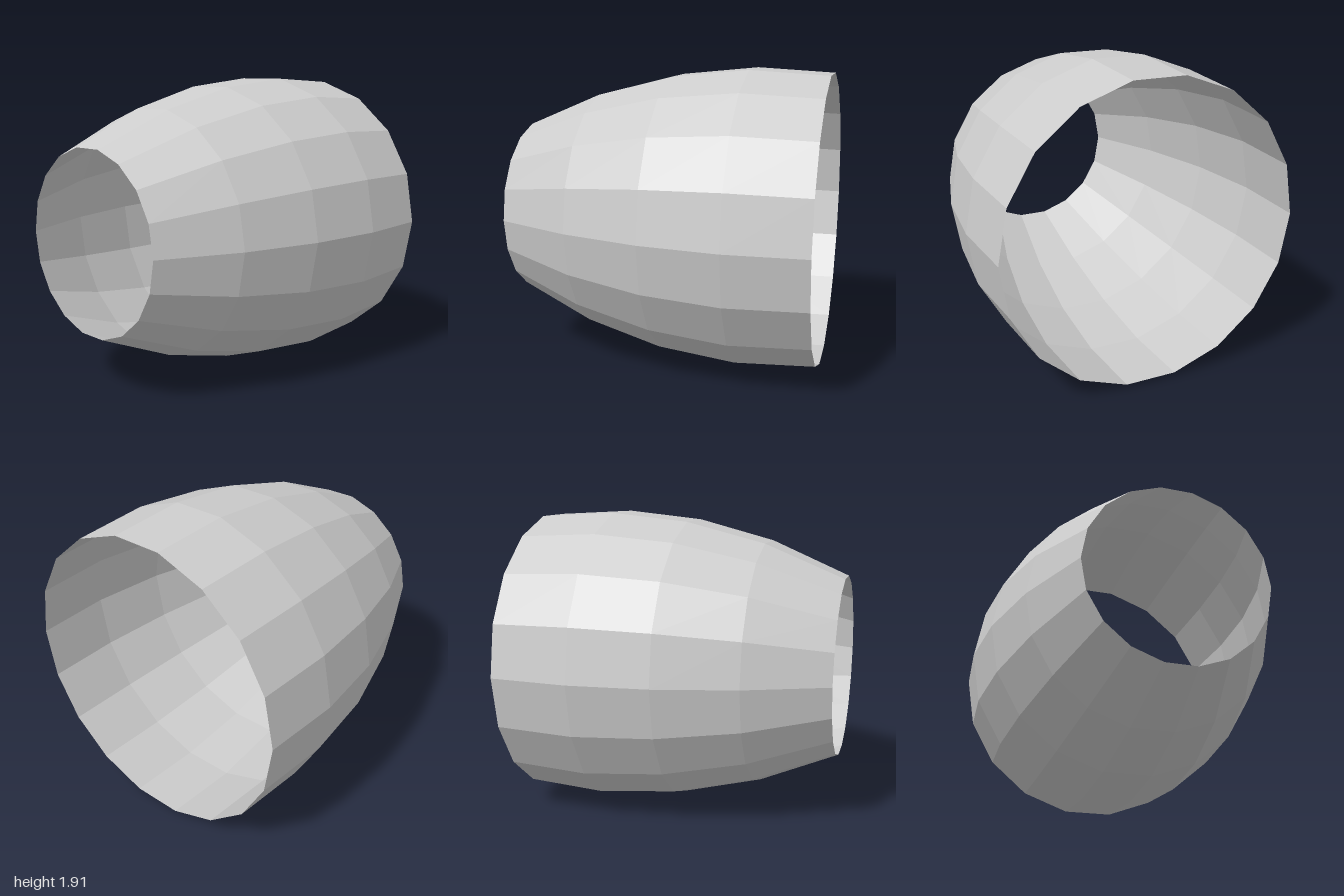
import * as THREE from 'three';

export function createModel() {
  const group = new THREE.Group();
  group.name = 'openBarrel';

  const grey = new THREE.MeshStandardMaterial({ color: 0xcccccc, flatShading: true, side: THREE.DoubleSide });
  grey.name = 'light grey';

  // Profile along the tube: radius and distance, wide back end to narrow front end
  const profile = [[0.942, -1], [0.97, -0.5], [0.919, 0], [0.79, 0.5], [0.577, 1]]
    .map(([r, d]) => new THREE.Vector2(r, d));

  // Open 18-sided shell with flat facets at top and bottom, laid along z
  const sides = 18;
  const geometry = new THREE.LatheGeometry(profile, sides, Math.PI / 2);
  geometry.rotateX(Math.PI / 2);

  const shell = new THREE.Mesh(geometry, grey);
  shell.name = 'taperedShell';
  shell.position.y = 0.97 * Math.cos(Math.PI / sides);
  group.add(shell);

  return group;
}
